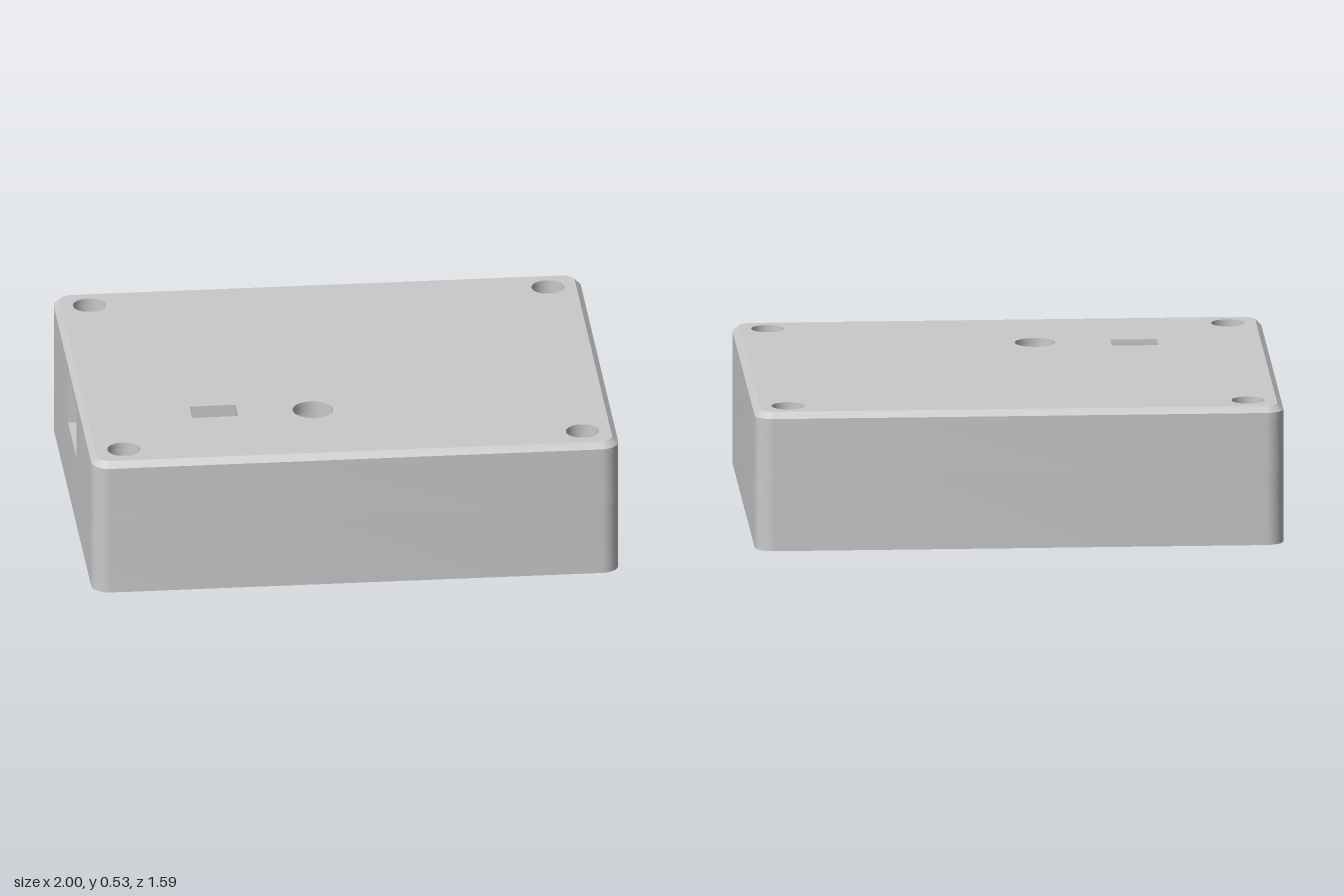
import * as THREE from 'three';
import { toCreasedNormals } from 'three/addons/utils/BufferGeometryUtils.js';

const HX = 1, HZ = 0.795, R = 0.07;        // outer half sizes and corner radius
const WX = 0.953, WZ = 0.748;              // inner wall faces
const BX = 0.785, BZ = 0.583;              // inner corners of the screw blocks
const TOP = 0.534, CHAMFER = 0.023, CEILING = 0.49;
const CORNERS = [[-1, 1], [1, 1], [1, -1], [-1, -1]];
const WINDOW = { z0: -0.17, z1: 0.15, y0: 0.277, y1: 0.48 };

const v2 = (x, z) => new THREE.Vector2(x, z);

// Rounded rectangle in the x-z plane, starting on the -x side
function roundedOutline(hx, hz, r) {
  const pts = [];
  CORNERS.forEach(([sx, sz], c) => {
    for (let i = 0; i <= 10; i++) {
      const a = Math.PI - (c + i / 10) * Math.PI / 2;
      pts.push(v2(sx * (hx - r) + r * Math.cos(a), sz * (hz - r) + r * Math.sin(a)));
    }
  });
  return pts;
}

// Cavity outline, stepped around the four screw blocks
function cavityOutline() {
  return CORNERS.flatMap(([sx, sz], c) => {
    const step = [v2(sx * WX, sz * BZ), v2(sx * BX, sz * BZ), v2(sx * BX, sz * WZ)];
    return c % 2 ? step.reverse() : step;
  });
}

function circle(x, z, r) {
  return Array.from({ length: 32 }, (_, i) => {
    const a = i / 32 * Math.PI * 2;
    return v2(x + r * Math.cos(a), z + r * Math.sin(a));
  });
}

const screwHoles = (r) => CORNERS.map(([sx, sz]) => circle(sx * 0.87, sz * 0.67, r));

export function createModel() {
  const model = new THREE.Group();
  model.name = 'enclosure';
  const grey = new THREE.MeshStandardMaterial({ color: 0xcacaca });
  grey.name = 'grey plastic';

  const add = (parent, name, geometry) => {
    const mesh = new THREE.Mesh(geometry, grey);
    mesh.name = name;
    parent.add(mesh);
    return mesh;
  };

  // Slab with holes between two heights; outlines and holes all run counter-clockwise
  const ccw = (pts) => (THREE.ShapeUtils.isClockWise(pts) ? [...pts].reverse() : pts);
  const slab = (parent, name, outline, holes, y0, y1) => {
    const shape = new THREE.Shape(ccw(outline));
    shape.holes = holes.map((h) => new THREE.Path([...ccw(h)].reverse()));
    const g = new THREE.ExtrudeGeometry(shape, { depth: y1 - y0, bevelEnabled: false });
    g.rotateX(Math.PI / 2).translate(0, y1, 0);
    return add(parent, name, toCreasedNormals(g, 0.5));
  };

  const outer = roundedOutline(HX, HZ, R);
  const inset = roundedOutline(HX - CHAMFER, HZ - CHAMFER, R - CHAMFER);
  const cavity = cavityOutline();

  // Walls, with a port window in the -x side
  const walls = new THREE.Group();
  walls.name = 'walls';
  model.add(walls);
  slab(walls, 'lowerWall', outer, [cavity, ...screwHoles(0.035)], 0, WINDOW.y0);
  const openOutline = [
    v2(-HX, WINDOW.z1), ...outer, v2(-HX, WINDOW.z0),
    v2(-WX, WINDOW.z0), ...[...cavity].reverse(), v2(-WX, WINDOW.z1),
  ];
  slab(walls, 'windowWall', openOutline, screwHoles(0.035), WINDOW.y0, WINDOW.y1);
  slab(walls, 'upperWall', outer, [cavity, ...screwHoles(0.063)], WINDOW.y1, CEILING);

  // Lid with switch slot, round opening and counterbored screw holes
  const lid = new THREE.Group();
  lid.name = 'lid';
  model.add(lid);
  const slot = [v2(-0.586, 0.3), v2(-0.41, 0.3), v2(-0.41, 0.405), v2(-0.586, 0.405)];
  const lidHoles = [slot, circle(-0.124, 0.374, 0.077), ...screwHoles(0.063)];
  slab(lid, 'lidBase', outer, lidHoles, CEILING, TOP - CHAMFER);
  slab(lid, 'lidTop', inset, lidHoles, TOP - CHAMFER, TOP);

  // Chamfered top edge
  const band = [];
  const low = (i) => [outer[i].x, TOP - CHAMFER, outer[i].y];
  const high = (i) => [inset[i].x, TOP, inset[i].y];
  outer.forEach((_, i) => {
    const j = (i + 1) % outer.length;
    band.push(...low(i), ...low(j), ...high(i), ...low(j), ...high(j), ...high(i));
  });
  const chamfer = new THREE.BufferGeometry();
  chamfer.setAttribute('position', new THREE.Float32BufferAttribute(band, 3));
  chamfer.computeVertexNormals();
  add(lid, 'lidChamfer', toCreasedNormals(chamfer, 0.5));

  // Tube hanging below the round opening
  slab(model, 'openingTube', circle(-0.124, 0.374, 0.137), [circle(-0.124, 0.374, 0.108)], 0.178, CEILING);

  // Board posts: flange at the ceiling, shaft, locating pin
  const posts = [[0.5, 0.4], [0.5, -0.445], [-0.73, 0.275], [-0.72, -0.46]];
  posts.forEach(([x, z]) => {
    const post = new THREE.Group();
    post.name = 'boardPost';
    post.position.set(x, 0, z);
    model.add(post);
    const rod = (name, r, y0, y1) =>
      add(post, name, new THREE.CylinderGeometry(r, r, y1 - y0, 32)).position.y = (y0 + y1) / 2;
    rod('postFlange', 0.105, 0.46, CEILING);
    rod('postShaft', 0.068, 0.055, 0.47);
    rod('postPin', 0.027, 0.003, 0.06);
  });

  return model;
}
